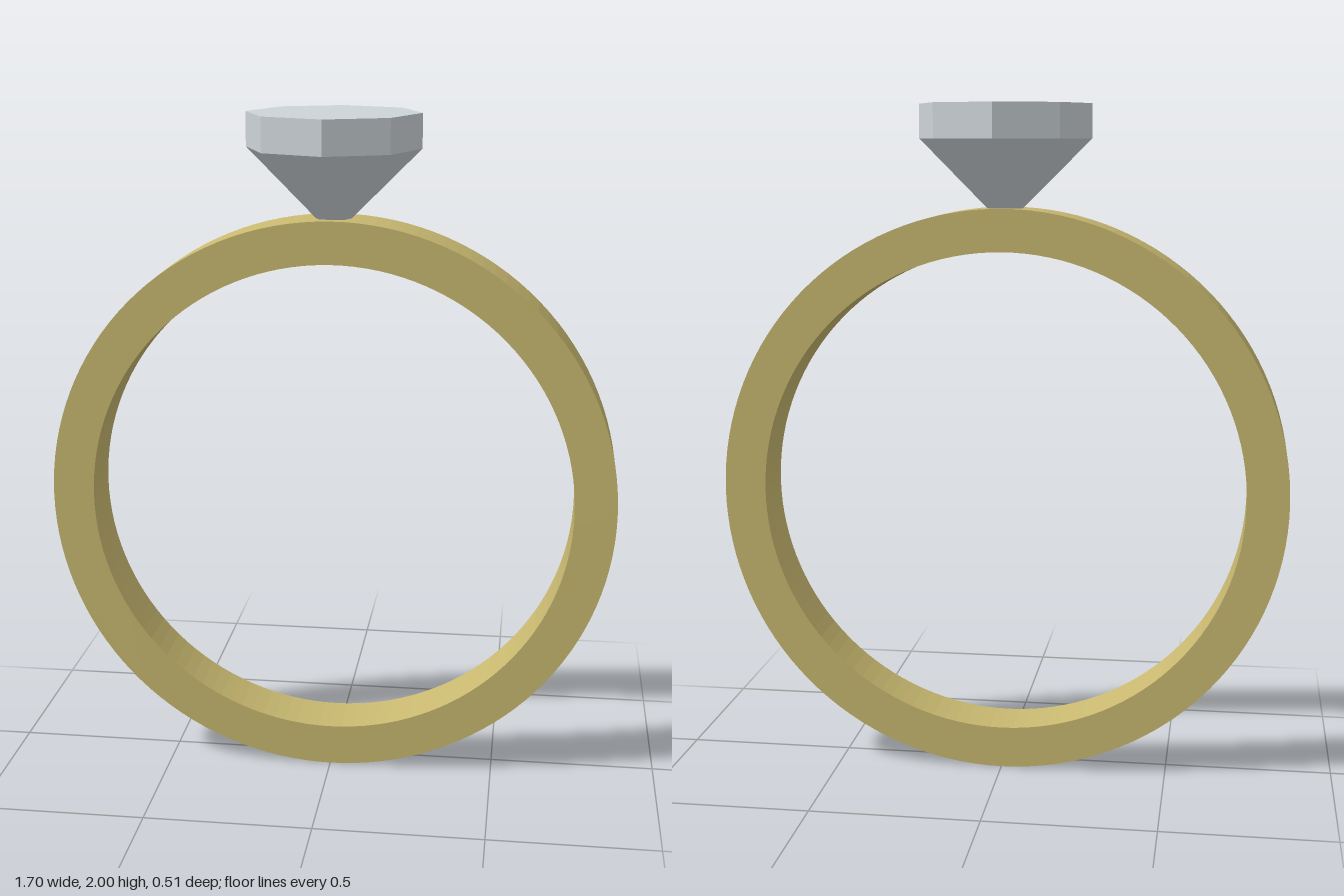
import * as THREE from 'three';

const BAND = { outer: 0.85, inner: 0.725, depth: 0.17 };
const GEM = { radius: 0.255, tip: 1.645, girdle: 1.9, top: 2.0, sides: 8 };

function makeMesh(name, geometry, color) {
  const mesh = new THREE.Mesh(geometry, new THREE.MeshStandardMaterial({ color, flatShading: true }));
  mesh.name = name;
  return mesh;
}

export function createModel() {
  const group = new THREE.Group();
  group.name = 'ring';

  // Flat-sided band standing upright
  const shape = new THREE.Shape().absarc(0, 0, BAND.outer, 0, Math.PI * 2, false);
  shape.holes.push(new THREE.Path().absarc(0, 0, BAND.inner, 0, Math.PI * 2, true));
  const bandGeometry = new THREE.ExtrudeGeometry(shape, {
    depth: BAND.depth, bevelEnabled: false, curveSegments: 64,
  });
  bandGeometry.translate(0, BAND.outer, -BAND.depth / 2);
  group.add(makeMesh('band', bandGeometry, 0xc8b870));

  // Eight-sided gem: flat top, short upright girdle, point sunk into the band
  const profile = [
    [0, GEM.tip], [GEM.radius, GEM.girdle], [GEM.radius, GEM.top], [0, GEM.top],
  ].map(([r, y]) => new THREE.Vector2(r, y));
  group.add(makeMesh('gem', new THREE.LatheGeometry(profile, GEM.sides), 0xcdd4d8));

  return group;
}
